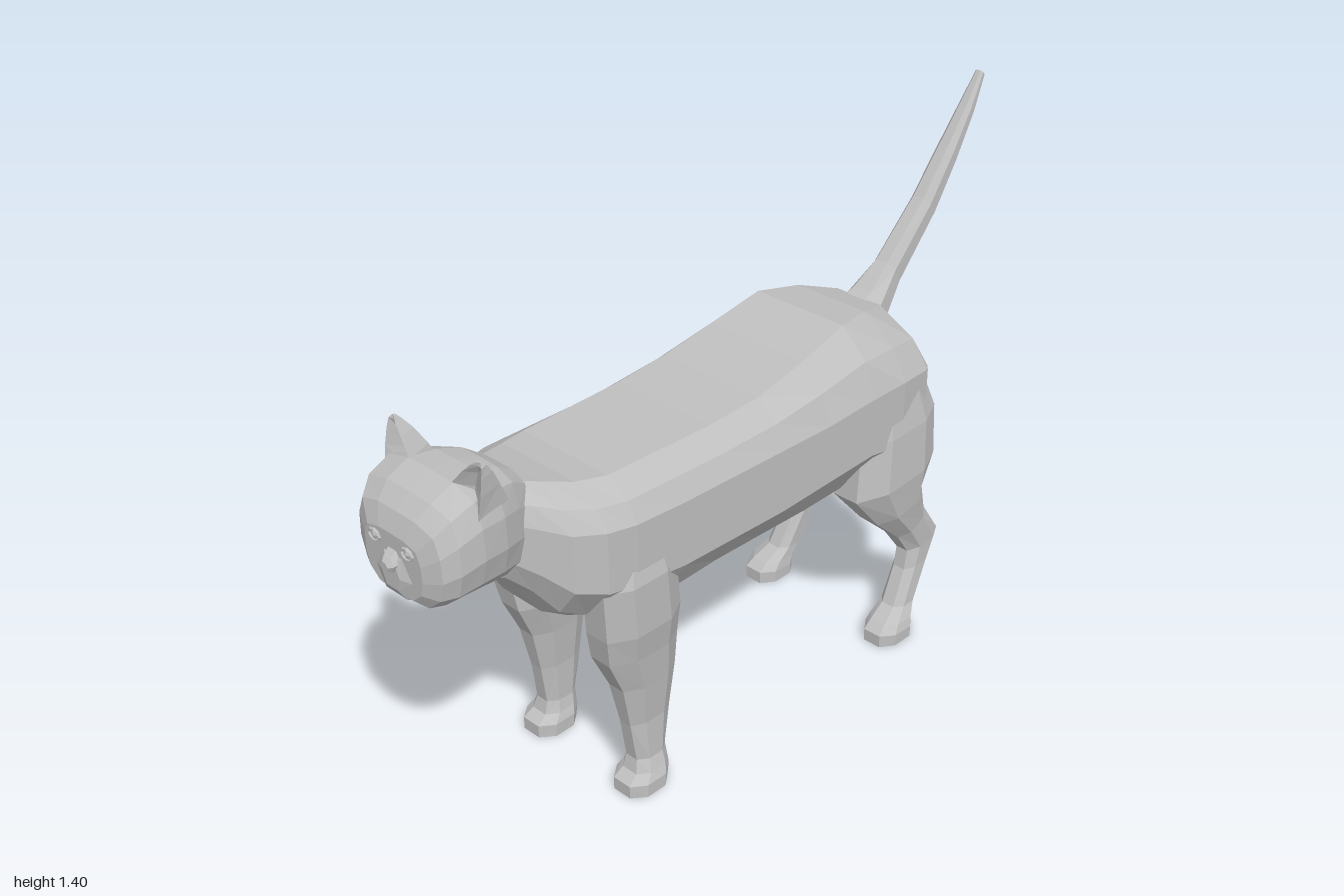
import * as THREE from 'three';

const fur = new THREE.MeshStandardMaterial({ color: 0xbfbfbf, flatShading: true });
fur.name = 'grey fur';

// Skin a list of equal-length rings of [x, y, z] and close both ends
function loft(name, rings) {
  const tris = [];
  const n = rings[0].length;
  const centre = (ring) => [0, 1, 2].map((k) => ring.reduce((s, p) => s + p[k], 0) / n);
  for (let i = 0; i + 1 < rings.length; i++) {
    for (let j = 0; j < n; j++) {
      const a = rings[i][j], b = rings[i][(j + 1) % n];
      const c = rings[i + 1][(j + 1) % n], d = rings[i + 1][j];
      tris.push([a, b, c], [a, c, d]);
    }
  }
  const first = rings[0], last = rings[rings.length - 1];
  const c0 = centre(first), c1 = centre(last);
  for (let j = 0; j < n; j++) {
    const k = (j + 1) % n;
    tris.push([c0, first[k], first[j]], [c1, last[j], last[k]]);
  }
  // Turn every face outward, whichever way the rings run
  let volume = 0;
  for (const [a, b, c] of tris) {
    volume += a[0] * (b[1] * c[2] - b[2] * c[1]) + a[1] * (b[2] * c[0] - b[0] * c[2])
      + a[2] * (b[0] * c[1] - b[1] * c[0]);
  }
  const flat = tris.flatMap((t) => (volume < 0 ? [t[0], t[2], t[1]] : t)).flat();
  const geometry = new THREE.BufferGeometry();
  geometry.setAttribute('position', new THREE.Float32BufferAttribute(flat, 3));
  geometry.computeVertexNormals();
  const mesh = new THREE.Mesh(geometry, fur);
  mesh.name = name;
  return mesh;
}

// Full ring from a right-hand half profile of [x, y], at depth z
const mirrored = (half, z) => [
  ...half.map(([x, y]) => [x, y, z]),
  ...half.filter(([x]) => x > 0).reverse().map(([x, y]) => [-x, y, z]),
];

// Eight-sided limb ring: x range, then front and back points in (z, y)
function limbRing([x0, x1, zf, yf, zb, yb], side) {
  const corners = [[0.25, 0], [0.75, 0], [1, 0.27], [1, 0.73], [0.75, 1], [0.25, 1], [0, 0.73], [0, 0.27]];
  return corners.map(([u, v]) => [
    side * (x0 + (x1 - x0) * u), yf + (yb - yf) * v, zf + (zb - zf) * v,
  ]);
}
const limb = (name, rows, side = 1) => loft(name, rows.map((r) => limbRing(r, side)));

function makeBody() {
  // z, top, top half width, side half width, upper side, lower side, belly half width, bottom
  const rows = [
    [0.74, 0.94, 0.05, 0.10, 0.86, 0.76, 0.07, 0.69],
    [0.69, 0.935, 0.07, 0.14, 0.84, 0.72, 0.10, 0.64],
    [0.64, 0.92, 0.09, 0.185, 0.82, 0.67, 0.13, 0.565],
    [0.57, 0.90, 0.12, 0.22, 0.81, 0.65, 0.14, 0.52],
    [0.49, 0.89, 0.14, 0.23, 0.80, 0.64, 0.16, 0.50],
    [0.34, 0.89, 0.145, 0.23, 0.79, 0.62, 0.165, 0.475],
    [0.18, 0.89, 0.15, 0.235, 0.79, 0.62, 0.17, 0.49],
    [0.02, 0.90, 0.155, 0.24, 0.79, 0.62, 0.17, 0.485],
    [-0.14, 0.93, 0.15, 0.245, 0.79, 0.63, 0.17, 0.475],
    [-0.30, 0.965, 0.14, 0.25, 0.80, 0.64, 0.17, 0.475],
    [-0.42, 0.95, 0.11, 0.25, 0.80, 0.62, 0.17, 0.49],
    [-0.53, 0.915, 0.07, 0.235, 0.79, 0.60, 0.16, 0.50],
    [-0.575, 0.85, 0.06, 0.20, 0.77, 0.59, 0.14, 0.50],
    [-0.60, 0.76, 0.05, 0.13, 0.71, 0.60, 0.09, 0.54],
  ];
  return loft('body', rows.map(([z, top, wt, w, yu, yl, wb, bot]) => mirrored([
    [wt, top], [wt + (w - wt) * 0.68, top + (yu - top) * 0.45], [w, yu], [w, yl],
    [wb, bot + (yl - bot) * 0.28], [wb * 0.5, bot],
  ], z)));
}

function makeHead() {
  const head = new THREE.Group();
  head.name = 'head';
  // Skull: z, top, bottom, half width
  const rows = [
    [0.68, 0.95, 0.69, 0.10], [0.73, 0.985, 0.705, 0.125], [0.79, 1.003, 0.72, 0.152],
    [0.86, 1.01, 0.73, 0.165], [0.92, 0.985, 0.73, 0.16], [0.955, 0.95, 0.735, 0.138],
    [0.975, 0.905, 0.755, 0.095],
  ];
  const profile = [[0, 1], [0.45, 0.995], [0.85, 0.93], [0.98, 0.72], [1, 0.45], [0.9, 0.22], [0.6, 0.05], [0, 0]];
  head.add(loft('skull', rows.map(([z, top, bot, w]) => mirrored(
    profile.map(([u, v]) => [u * w, bot + (top - bot) * v]), z))));

  // Muzzle and nose
  const wedge = (name, list) => loft(name, list.map(([z, w, top, bot]) => mirrored([
    [w * 0.5, top], [w, (top + bot) / 2], [w * 0.6, bot],
  ], z)));
  head.add(wedge('muzzle', [[0.94, 0.085, 0.87, 0.74], [0.975, 0.06, 0.855, 0.755], [0.985, 0.03, 0.84, 0.775]]));
  head.add(wedge('nose', [[0.96, 0.03, 0.88, 0.81], [0.99, 0.022, 0.855, 0.82], [1.0, 0.012, 0.845, 0.825]]));

  for (const side of [1, -1]) {
    // Eyes with lids
    const eye = new THREE.Mesh(new THREE.SphereGeometry(0.018, 8, 6), fur);
    eye.name = 'eye';
    eye.position.set(side * 0.055, 0.88, 0.965);
    const lid = new THREE.Mesh(new THREE.TorusGeometry(0.018, 0.004, 4, 8), fur);
    lid.name = 'eyelid';
    lid.position.set(side * 0.055, 0.88, 0.977);
    lid.scale.y = 0.75;
    head.add(eye, lid);

    // Ear with a hollow front: y, inner x, outer x, front z, back z, hollow depth
    const ear = [
      [0.95, 0.05, 0.155, 0.87, 0.765, 0.03], [1.005, 0.068, 0.157, 0.862, 0.79, 0.03],
      [1.045, 0.10, 0.155, 0.855, 0.81, 0.02], [1.068, 0.123, 0.152, 0.85, 0.827, 0.008],
      [1.077, 0.132, 0.144, 0.845, 0.835, 0.002],
    ];
    head.add(loft('ear', ear.map(([y, x0, x1, zf, zb, dip]) => [
      [x0, zf], [(x0 + x1) / 2, zf - dip], [x1, zf - 0.005], [x1 - (x1 - x0) * 0.2, zb], [x0 + (x1 - x0) * 0.3, zb],
    ].map(([x, z]) => [side * x, y, z]))));
  }
  return head;
}

// Limb rows: inner x, outer x, front z, front y, back z, back y
const frontLegRows = [
  [0.10, 0.215, 0.54, 0.74, 0.37, 0.74],
  [0.10, 0.238, 0.575, 0.64, 0.345, 0.64],
  [0.095, 0.235, 0.565, 0.50, 0.33, 0.50],
  [0.095, 0.22, 0.55, 0.42, 0.33, 0.42],
  [0.11, 0.208, 0.505, 0.32, 0.335, 0.32],
  [0.123, 0.195, 0.48, 0.20, 0.35, 0.20],
  [0.125, 0.198, 0.465, 0.09, 0.37, 0.09],
  [0.118, 0.21, 0.475, 0.055, 0.37, 0.06],
  [0.11, 0.22, 0.503, 0.035, 0.37, 0.035],
  [0.11, 0.22, 0.503, 0, 0.375, 0],
];
const hindLegRows = [
  [0.12, 0.235, -0.33, 0.78, -0.54, 0.78],
  [0.11, 0.257, -0.295, 0.65, -0.588, 0.66],
  [0.115, 0.265, -0.275, 0.50, -0.588, 0.52],
  [0.135, 0.255, -0.37, 0.39, -0.55, 0.43],
  [0.15, 0.24, -0.47, 0.30, -0.575, 0.35],
  [0.163, 0.235, -0.515, 0.235, -0.64, 0.255],
  [0.165, 0.235, -0.505, 0.18, -0.605, 0.19],
  [0.17, 0.245, -0.455, 0.085, -0.54, 0.085],
  [0.168, 0.262, -0.405, 0.055, -0.52, 0.055],
  [0.165, 0.27, -0.38, 0.035, -0.515, 0.03],
  [0.165, 0.27, -0.38, 0, -0.515, 0],
];
const tailRows = [
  [-0.065, 0.065, -0.50, 0.91, -0.57, 0.80],
  [-0.055, 0.055, -0.545, 0.93, -0.595, 0.835],
  [-0.036, 0.036, -0.62, 0.985, -0.665, 0.91],
  [-0.032, 0.032, -0.76, 1.12, -0.805, 1.065],
  [-0.028, 0.028, -0.85, 1.23, -0.885, 1.185],
  [-0.021, 0.021, -0.93, 1.33, -0.955, 1.30],
  [-0.012, 0.012, -0.985, 1.405, -1.0, 1.39],
];

export function createModel() {
  const cat = new THREE.Group();
  cat.name = 'cat';
  cat.add(makeBody(), makeHead(), limb('tail', tailRows));
  for (const side of [1, -1]) {
    cat.add(limb('frontLeg', frontLegRows, side), limb('hindLeg', hindLegRows, side));
  }
  return cat;
}
